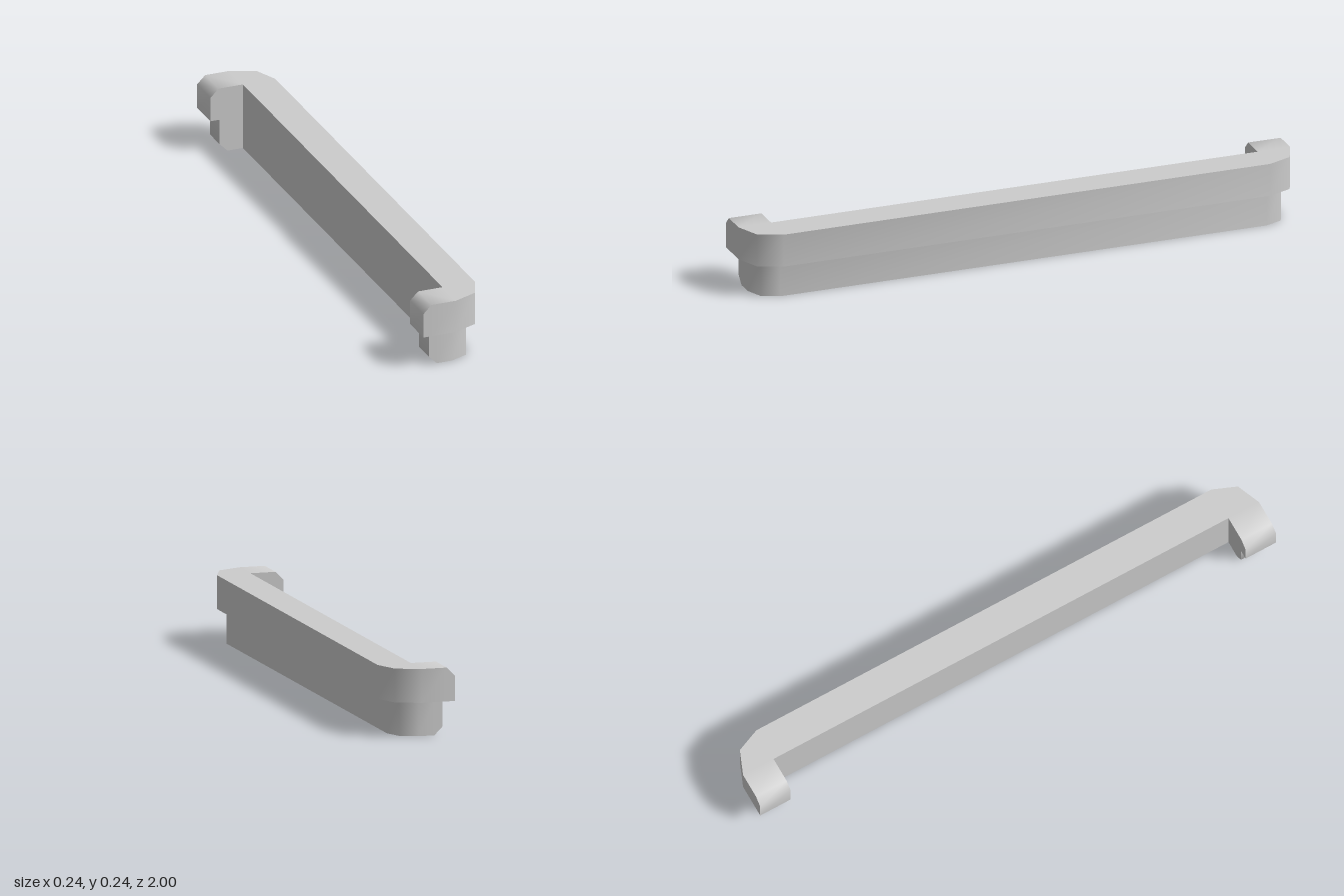
import * as THREE from 'three';
import { toCreasedNormals } from 'three/addons/utils/BufferGeometryUtils.js';

const INNER_Z = 0.88; // inside faces of the two returning ends
const CHAMFER = 0.029;

// One tier: a long bar on +x with rounded corners and ends returning to -x.
// depth is both the wall thickness and the corner radius.
function tierGeometry(depth, bottom, top, chamferTop) {
  const m = depth * Math.SQRT1_2;
  const lowTop = chamferTop ? top - CHAMFER : top;
  const highBottom = chamferTop ? bottom : bottom + CHAMFER;

  // stations along the front half: inner x, outer x, outer z offset, bottom, top
  const half = [
    [-depth, -depth, depth, highBottom, lowTop],
    [-depth + CHAMFER, -depth + CHAMFER, depth, bottom, top],
    [0, 0, depth, bottom, top],
    [0, m, m, bottom, top],
    [0, depth, 0, bottom, top],
  ];
  const station = (s, side) => {
    const [ix, ox, oz, b, t] = s;
    const zi = side * INNER_Z, zo = side * (INNER_Z + oz);
    return {
      ib: new THREE.Vector3(ix, b, zi), it: new THREE.Vector3(ix, t, zi),
      ob: new THREE.Vector3(ox, b, zo), ot: new THREE.Vector3(ox, t, zo),
    };
  };
  const path = [
    ...half.map((s) => station(s, 1)),
    ...half.slice().reverse().map((s) => station(s, -1)),
  ];

  const pos = [];
  const tri = (a, b, c) => {
    if (a.equals(b) || b.equals(c) || a.equals(c)) return;
    for (const p of [a, b, c]) pos.push(p.x, p.y, p.z);
  };
  const quad = (a, b, c, d) => { tri(a, b, c); tri(a, c, d); };

  for (let k = 0; k < path.length - 1; k++) {
    const p = path[k], q = path[k + 1];
    quad(p.ob, q.ob, q.ot, p.ot); // outer wall
    quad(p.it, p.ot, q.ot, q.it); // top
    quad(p.ib, q.ib, q.ob, p.ob); // bottom
    quad(q.ib, p.ib, p.it, q.it); // inner wall
  }
  const a = path[0], z = path[path.length - 1];
  quad(a.ib, a.ob, a.ot, a.it); // end caps
  quad(z.ob, z.ib, z.it, z.ot);

  const g = new THREE.BufferGeometry();
  g.setAttribute('position', new THREE.Float32BufferAttribute(pos, 3));
  return toCreasedNormals(g, THREE.MathUtils.degToRad(50));
}

export function createModel() {
  const group = new THREE.Group();
  group.name = 'bumper';
  const grey = new THREE.MeshStandardMaterial({ color: 0xcccccc });
  grey.name = 'light grey';

  const upper = new THREE.Mesh(tierGeometry(0.118, 0.12, 0.236, true), grey);
  upper.name = 'upperBumperBar';
  const lower = new THREE.Mesh(tierGeometry(0.085, 0, 0.12, false), grey);
  lower.name = 'lowerBumperBar';
  group.add(upper, lower);
  return group;
}
